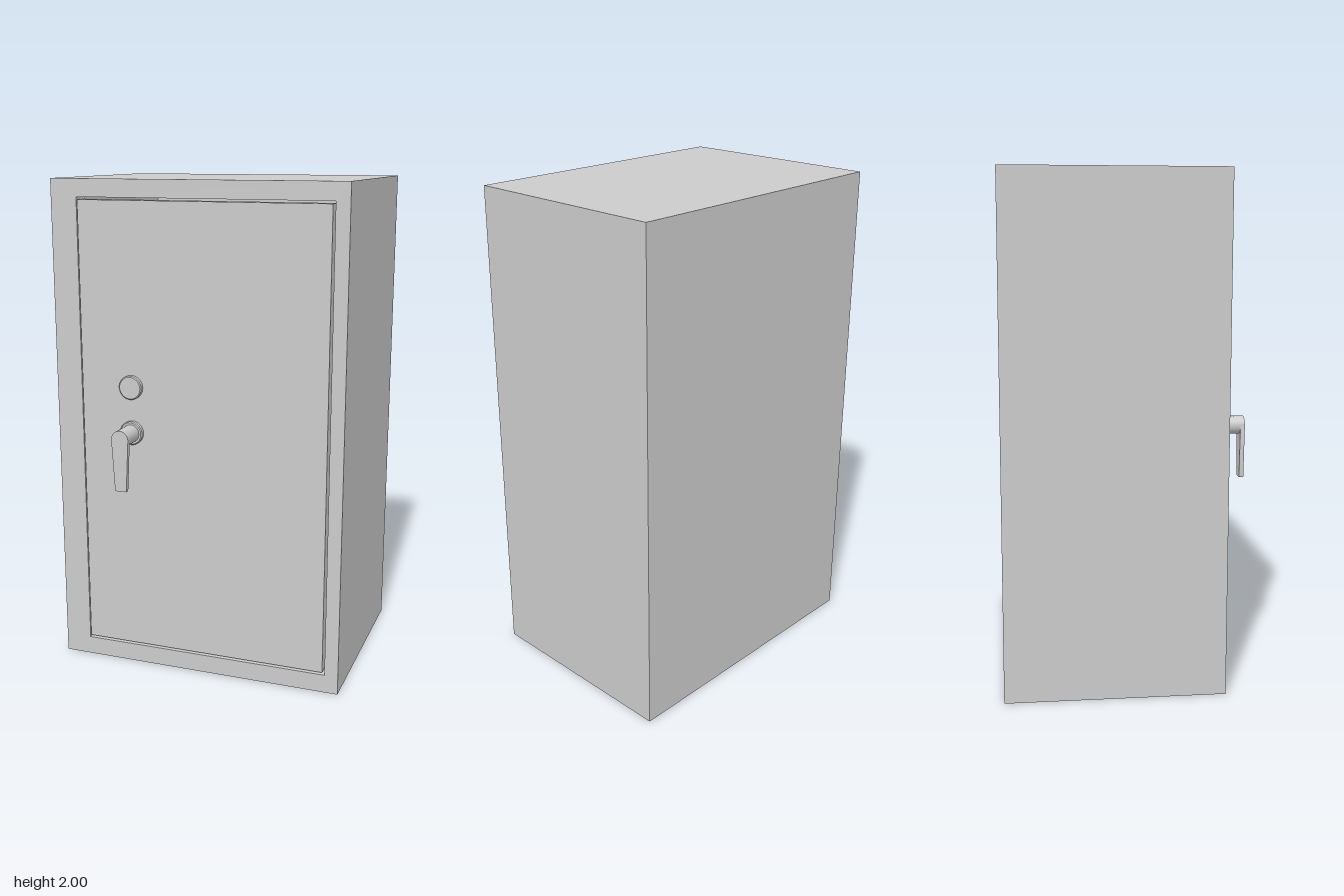
import * as THREE from 'three';
import { toCreasedNormals } from 'three/addons/utils/BufferGeometryUtils.js';

const W = 1.2, H = 2, BACK = -0.49, FRONT = 0.365;
const HANDLE_X = -0.27, HANDLE_Y = 1.004;

const material = new THREE.MeshStandardMaterial({ color: 0xcccccc });

function addMesh(parent, name, geometry, x = 0, y = 0, z = 0) {
  const mesh = new THREE.Mesh(geometry, material);
  mesh.name = name;
  mesh.position.set(x, y, z);
  parent.add(mesh);
  return mesh;
}

function rectPath(PathType, x0, y0, x1, y1) {
  return new PathType([[x0, y0], [x1, y0], [x1, y1], [x0, y1]].map(([x, y]) => new THREE.Vector2(x, y)));
}

// Round escutcheon with a slightly chamfered rim, facing +z
function escutcheon() {
  const profile = [[0, 0], [0.048, 0], [0.048, 0.016], [0.044, 0.02], [0, 0.02]]
    .map(([r, h]) => new THREE.Vector2(r, h));
  return toCreasedNormals(new THREE.LatheGeometry(profile, 32).rotateX(Math.PI / 2), 0.5);
}

export function createModel() {
  const model = new THREE.Group();
  model.name = 'safe';

  // Cabinet: hollow frame closed by a back panel
  const backThickness = 0.05;
  const frame = rectPath(THREE.Shape, -W / 2, 0, W / 2, H);
  frame.holes.push(rectPath(THREE.Path, -0.49, 0.075, 0.545, 1.93));
  addMesh(model, 'cabinet', new THREE.ExtrudeGeometry(frame, {
    depth: FRONT - BACK - backThickness, bevelEnabled: false,
  }), 0, 0, BACK + backThickness);
  addMesh(model, 'backPanel', new THREE.BoxGeometry(W, H, backThickness), 0, H / 2, BACK + backThickness / 2);

  // Door: flush with the frame, with a narrow gap all round
  const door = new THREE.Group();
  door.name = 'door';
  model.add(door);
  const x0 = -0.486, x1 = 0.535, y0 = 0.085, y1 = 1.92, t = 0.06;
  addMesh(door, 'doorPanel', new THREE.BoxGeometry(x1 - x0, y1 - y0, t),
    (x0 + x1) / 2, (y0 + y1) / 2, FRONT - t / 2);

  // Lock cover and handle rosette
  addMesh(door, 'lockCover', escutcheon(), HANDLE_X, 1.19, FRONT);
  addMesh(door, 'handleRosette', escutcheon(), HANDLE_X, HANDLE_Y, FRONT);

  // Handle: round shaft carrying a tapered, downward lever
  const handle = new THREE.Group();
  handle.name = 'handle';
  handle.position.set(HANDLE_X, HANDLE_Y, FRONT);
  door.add(handle);
  const r = 0.036, reach = 0.125, leverThickness = 0.018;
  const shaft = new THREE.CylinderGeometry(r, r, reach - leverThickness, 32).rotateX(Math.PI / 2);
  addMesh(handle, 'handleShaft', shaft, 0, 0, (reach - leverThickness) / 2);

  const lever = new THREE.Shape();
  lever.moveTo(r, 0);
  lever.absarc(0, 0, r, 0, Math.PI, false);
  lever.lineTo(-0.024, -0.212);
  lever.lineTo(0.024, -0.212);
  lever.closePath();
  const leverGeometry = new THREE.ExtrudeGeometry(lever, {
    depth: leverThickness, bevelEnabled: false, curveSegments: 16,
  });
  addMesh(handle, 'handleLever', toCreasedNormals(leverGeometry, 0.5), 0, 0, reach - leverThickness);

  return model;
}
